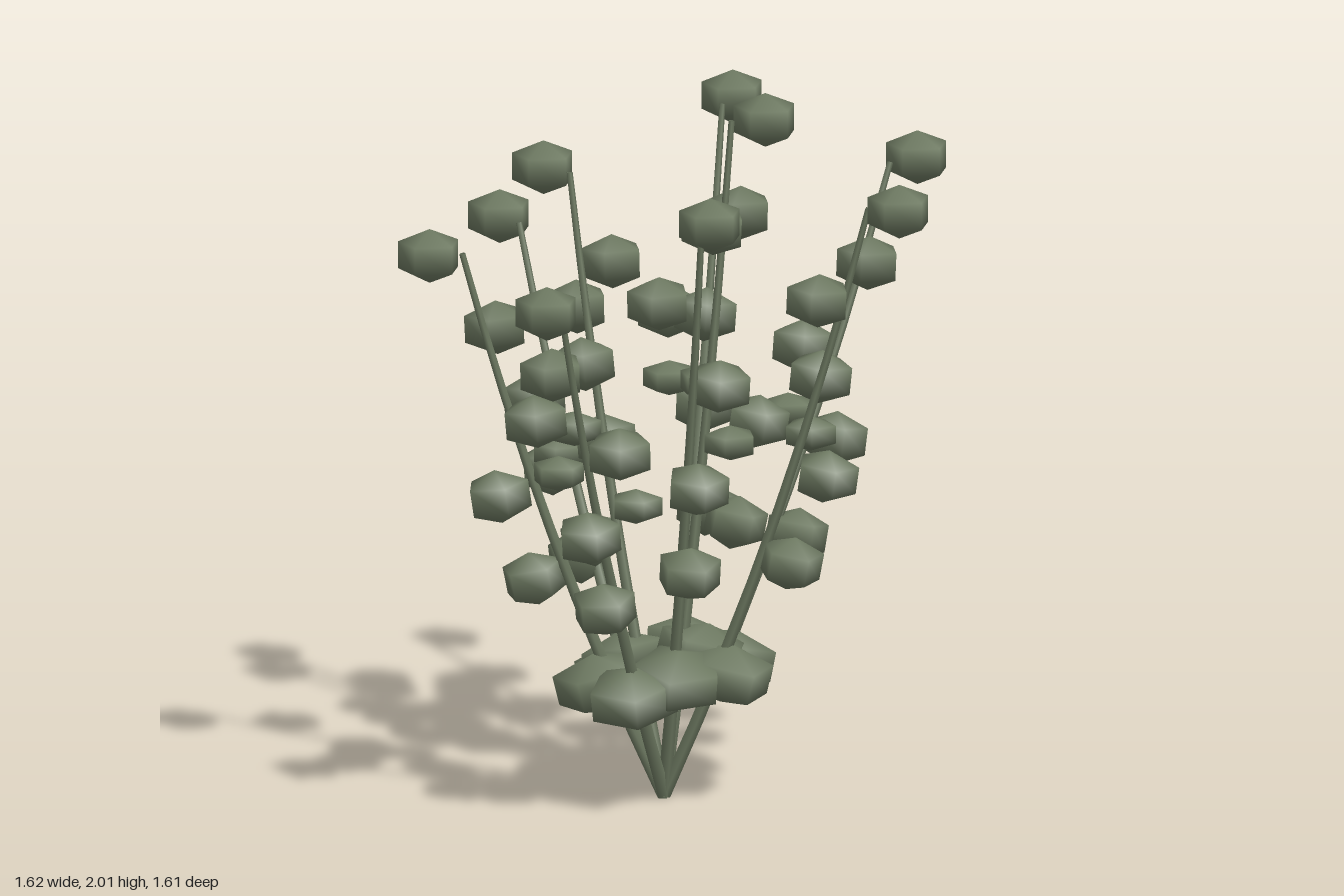
import * as THREE from 'three';

const BASE = new THREE.Vector3(-0.06, 0, -0.005);

// Each stem: its tip, x and z of its four middle leaves from the top down, and of its small leaf
const STEMS = [
  { tip: [-0.38, 1.50, -0.64], middle: [[-0.23, -0.55], [-0.37, -0.40], [-0.31, -0.50], [-0.25, -0.37]], small: [-0.30, -0.38] },
  { tip: [0.63, 1.70, -0.39], middle: [[0.55, -0.25], [0.38, -0.35], [0.46, -0.29], [0.34, -0.21]], small: [0.33, -0.30] },
  { tip: [-0.64, 1.59, 0.09], middle: [[-0.53, -0.01], [-0.44, 0.14], [-0.53, 0.03], [-0.43, 0.03]], small: [-0.37, 0.10] },
  { tip: [-0.44, 1.56, 0.64], middle: [[-0.44, 0.48], [-0.25, 0.48], [-0.34, 0.50], [-0.28, 0.38]], small: [-0.20, 0.45] },
  { tip: [0.47, 1.74, 0.33], middle: [[0.33, 0.33], [0.36, 0.15], [0.36, 0.26], [0.27, 0.20]], small: [0.34, 0.09] },
  { tip: [-0.01, 1.75, 0.42], middle: [[-0.12, 0.34], [0.06, 0.26], [-0.02, 0.39], [-0.03, 0.30]], small: [0.10, 0.20] },
  { tip: [0.17, 1.86, -0.48], middle: [[0.20, -0.33], [0.00, -0.35], [0.10, -0.37], [0.10, -0.29]], small: [0.00, -0.33] },
  { tip: [0.13, 1.925, 0.00], middle: [[0.07, 0.08], [0.07, -0.10], [0.20, 0.00], [0.14, 0.00]], small: [0.07, -0.11] },
  { tip: [-0.29, 1.73, -0.26], middle: [[-0.17, -0.26], [-0.27, -0.12], [-0.19, -0.28], [-0.24, -0.18]], small: [-0.30, -0.08] },
];

// Tube that thins from foot to tip: pull every ring towards its centre
function taperedTube(curve, r0, r1, segments, sides) {
  const geo = new THREE.TubeGeometry(curve, segments, r0, sides, false);
  const pos = geo.attributes.position;
  const v = new THREE.Vector3();
  for (let i = 0; i <= segments; i++) {
    const centre = curve.getPointAt(i / segments);
    const k = THREE.MathUtils.lerp(1, r1 / r0, i / segments);
    for (let j = 0; j <= sides; j++) {
      const n = i * (sides + 1) + j;
      v.fromBufferAttribute(pos, n).sub(centre).multiplyScalar(k).add(centre);
      pos.setXYZ(n, v.x, v.y, v.z);
    }
  }
  return geo;
}

// Horizontal direction away from the foot of the plant
function outwards(p) {
  return new THREE.Vector3(p.x - BASE.x, 0, p.z - BASE.z).normalize();
}

export function createModel() {
  const model = new THREE.Group();
  model.name = 'plant';
  const green = new THREE.MeshStandardMaterial({ color: 0x6e7a62, side: THREE.DoubleSide });
  green.name = 'dull green';

  // Five-sided pebble-like leaf, tilted away from the middle and turned about its own axis
  const leafGeo = new THREE.SphereGeometry(1, 5, 3);
  function addLeaf(parent, name, centre, radius, halfHeight, tilt, turn) {
    const leaf = new THREE.Mesh(leafGeo, green);
    leaf.name = name;
    leaf.position.copy(centre);
    leaf.scale.set(radius, halfHeight, radius);
    const dir = outwards(centre);
    leaf.quaternion.setFromAxisAngle(new THREE.Vector3(dir.z, 0, -dir.x), tilt);
    leaf.rotateY(turn);
    parent.add(leaf);
  }

  STEMS.forEach(({ tip, middle, small }, s) => {
    const branch = new THREE.Group();
    branch.name = 'branch' + (s + 1);

    // Stem leans out low down, then bends upwards
    const end = new THREE.Vector3(...tip);
    const bend = BASE.clone().lerp(end, 0.6).setY(end.y * 0.46);
    const curve = new THREE.QuadraticBezierCurve3(BASE, bend, end);
    const stem = new THREE.Mesh(taperedTube(curve, 0.02, 0.009, 8, 5), green);
    stem.name = 'stem';
    branch.add(stem);

    // Compact leaves: one beside the tip, four evenly down the stem
    const out = outwards(end);
    const centres = [
      end.clone().addScaledVector(out, 0.095),
      ...middle.map(([x, z], i) => new THREE.Vector3(x, end.y * (1 - 0.1495 * (i + 1)), z)),
    ];
    centres.forEach((centre, i) => addLeaf(branch, 'leaf', centre, 0.103, 0.077, 0.05 * i, 0.25 * i - 0.3));

    // Small flat leaf halfway up
    addLeaf(branch, 'smallLeaf', new THREE.Vector3(small[0], end.y * 0.6, small[1]), 0.085, 0.05, 0, s);

    // Wide leaf at the foot
    const foot = BASE.clone().lerp(end, 0.2).addScaledVector(out, 0.07).setY(end.y * 0.21);
    addLeaf(branch, 'footLeaf', foot, 0.145, 0.085, 0.25, 0.5 * s);
    model.add(branch);
  });
  return model;
}
